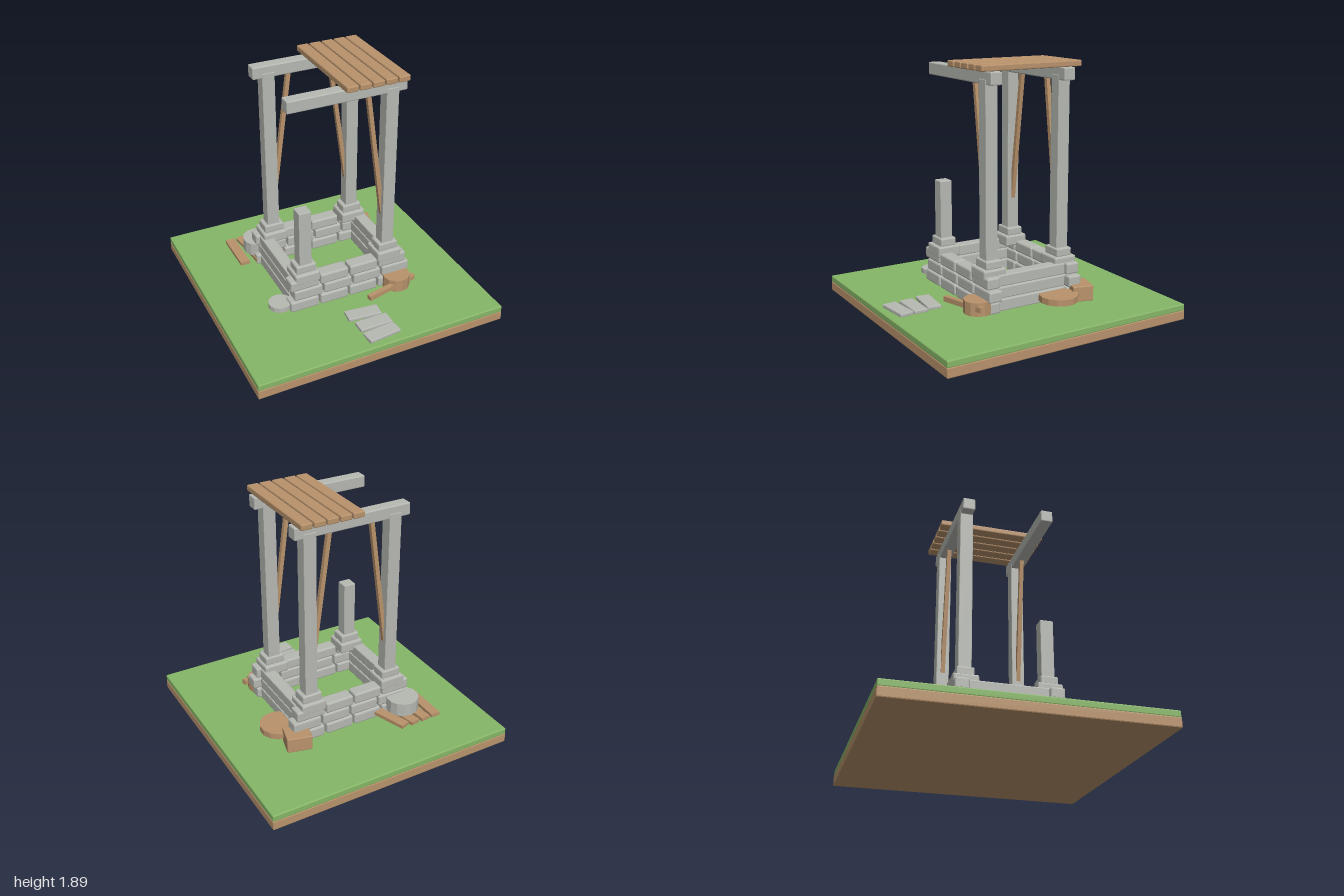
import * as THREE from 'three';
import { RoundedBoxGeometry } from 'three/addons/geometries/RoundedBoxGeometry.js';

export function createModel() {
  const root = new THREE.Group();
  root.name = 'ruinedWell';
  const material = (name, color) => {
    const m = new THREE.MeshStandardMaterial({ color, flatShading: true });
    m.name = name;
    return m;
  };
  const stone = material('stone', 0xb6b8b2);
  const wood = material('wood', 0xb8926b);
  const grass = material('grass', 0x86b667);

  const add = (name, geometry, mat, x, y, z, ry = 0) => {
    const mesh = new THREE.Mesh(geometry, mat);
    mesh.name = name;
    mesh.position.set(x, y, z);
    mesh.rotation.y = ry;
    root.add(mesh);
    return mesh;
  };
  // Box with softly chamfered edges, given by its lower and upper limits
  const block = (name, mat, x0, x1, y0, y1, z0, z1, r = 0.008) =>
    add(name, new RoundedBoxGeometry(x1 - x0, y1 - y0, z1 - z0, 1, r), mat,
      (x0 + x1) / 2, (y0 + y1) / 2, (z0 + z1) / 2);
  // Turned piece standing on y0
  const disc = (name, mat, x, z, r, y0, y1, sides = 14) =>
    add(name, new THREE.CylinderGeometry(r, r, y1 - y0, sides), mat, x, (y0 + y1) / 2, z);
  // Straight bar between two points
  const bar = (name, mat, from, to, w, d) => {
    const a = new THREE.Vector3(...from), b = new THREE.Vector3(...to);
    const mesh = add(name, new THREE.BoxGeometry(w, d, a.distanceTo(b)), mat, 0, 0, 0);
    mesh.position.copy(a).add(b).multiplyScalar(0.5);
    mesh.lookAt(b);
    return mesh;
  };

  // Ground slab
  block('soil', wood, -0.99, 0.99, 0, 0.075, -0.99, 0.99);
  block('turf', grass, -0.988, 0.988, 0.07, 0.122, -0.988, 0.988);

  // Well wall: staggered stones front and back, long stones at the sides
  const courses = [
    { y0: 0.135, y1: 0.222, start: -0.48 },
    { y0: 0.23, y1: 0.315, start: -0.45 },
    { y0: 0.32, y1: 0.405, start: -0.48 },
  ];
  for (const { y0, y1, start } of courses) {
    for (const s of [-1, 1]) {
      for (let i = 0; i < 4; i++) {
        const x = start + i * 0.244;
        block('wallStone', stone, x, x + 0.228, y0, y1, s * 0.34 - 0.053, s * 0.34 + 0.053, 0.012);
      }
      block('sideStone', stone, s * 0.403 - 0.047, s * 0.403 + 0.047, y0, y1, -0.288, 0.288, 0.008);
    }
  }

  // Posts on stepped footings; the front one on the right is broken off
  for (const sx of [-1, 1]) {
    for (const sz of [-1, 1]) {
      const x = sx * 0.34, z = sz * 0.302;
      const broken = sx < 0 && sz > 0;
      block('footing', stone, x - 0.098, x + 0.098, 0.365, 0.45, z - 0.092, z + 0.092, 0.012);
      block('footingCap', stone, x - 0.079, x + 0.079, 0.445, 0.51, z - 0.064, z + 0.064, 0.01);
      block(broken ? 'brokenPost' : 'post', stone,
        x - 0.049, x + 0.049, 0.5, broken ? 0.955 : 1.79, z - 0.049, z + 0.049, 0.006);
      if (!broken) {
        bar('brace', wood, [sx * 0.307, 0.75, z], [sx * 0.165, 1.78, z], 0.032, 0.032);
      }
    }
  }

  // Roof beams and boards
  for (const s of [-1, 1]) {
    block('beam', stone, -0.46, 0.455, 1.752, 1.845, s * 0.302 - 0.046, s * 0.302 + 0.046);
  }
  for (let i = 0; i < 5; i++) {
    const x = -0.003 + i * 0.0995;
    block('roofBoard', wood, x - 0.044, x + 0.044, 1.847, 1.892, -0.415, 0.41);
  }

  // Loose paving slabs
  for (const [x, z, ry] of [[0, 0.617, -0.11], [0.02, 0.748, 0], [0.022, 0.872, 0.1]]) {
    add('pavingSlab', new RoundedBoxGeometry(0.26, 0.028, 0.107, 1, 0.006), stone, x, 0.133, z, ry);
  }

  // Fanned boards under a round stone
  for (const [x, z, ry] of [[-0.578, -0.467, 0], [-0.467, -0.47, 0.11], [-0.355, -0.475, 0.21], [-0.248, -0.475, 0.32]]) {
    add('looseBoard', new THREE.BoxGeometry(0.075, 0.028, 0.35), wood, x, 0.178, z, ry);
  }
  disc('roundStone', stone, -0.402, -0.44, 0.125, 0.19, 0.295);
  disc('flatStone', stone, -0.535, 0.305, 0.088, 0.165, 0.203);

  // Wooden lid, crate, tub and the stick through the tub
  disc('lid', wood, 0.53, -0.178, 0.146, 0.165, 0.212);
  add('crate', new RoundedBoxGeometry(0.19, 0.118, 0.16, 1, 0.006), wood, 0.485, 0.189, -0.392, -0.25);
  disc('tub', wood, 0.388, 0.42, 0.106, 0.145, 0.244, 12);
  bar('stick', wood, [0.1, 0.177, 0.525], [0.52, 0.204, 0.457], 0.04, 0.038);

  return root;
}
